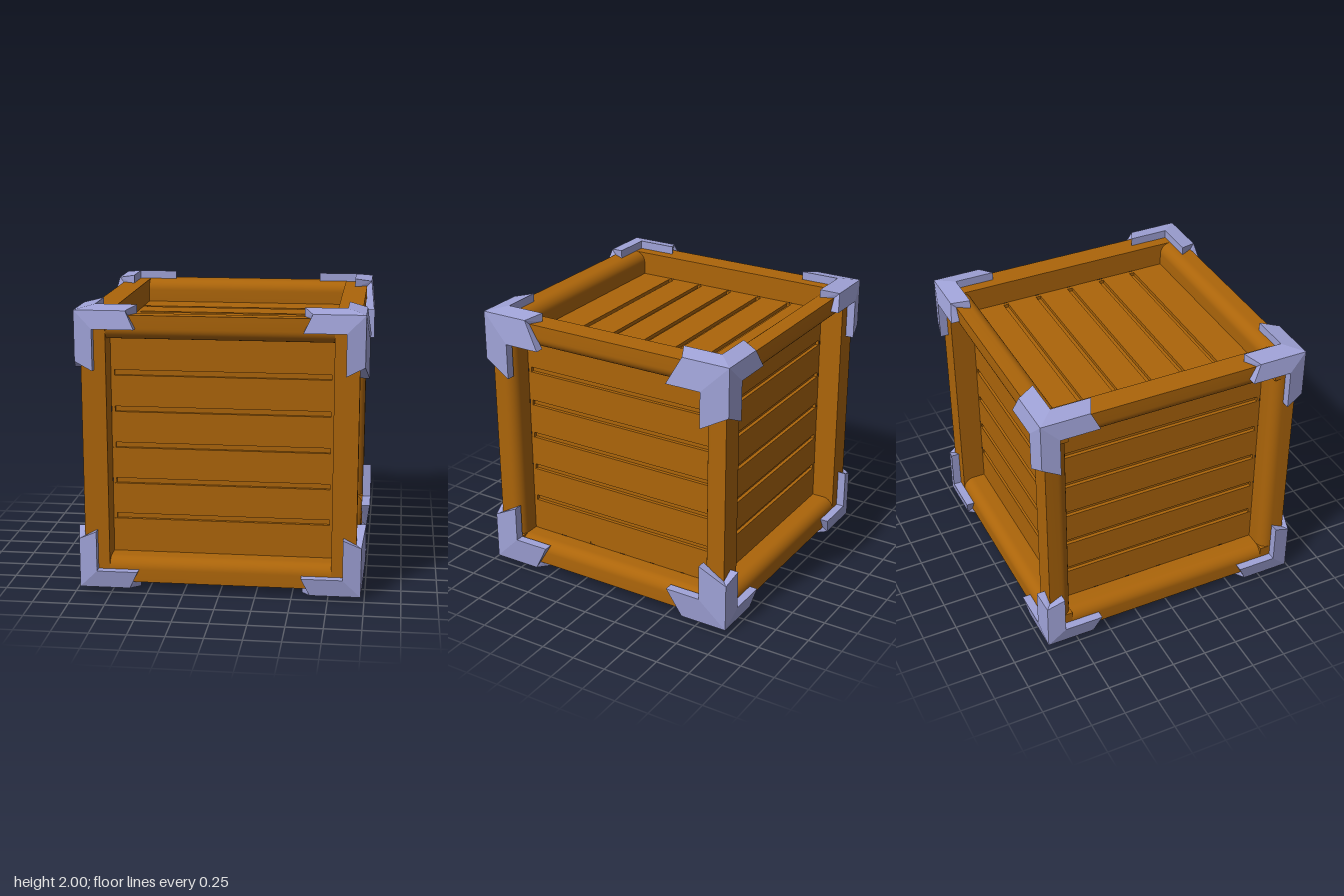
import * as THREE from 'three';
import { toCreasedNormals } from 'three/addons/utils/BufferGeometryUtils.js';

const OUT = 0.94, IN = 0.77, R = 0.08, GROOVE = 0.025, GAP = 0.038;
const SIGNS = [-1, 1];

export function createModel() {
  const wood = new THREE.MeshStandardMaterial({ color: 0xac650a });
  wood.name = 'wood';
  const metal = new THREE.MeshStandardMaterial({ color: 0xa0a3d8 });
  metal.name = 'metal';

  const crate = new THREE.Group();
  crate.name = 'crate';
  const body = new THREE.Group();
  body.name = 'crateBody';
  body.position.y = 1;
  crate.add(body);

  const add = (name, geometry, material) => {
    const mesh = new THREE.Mesh(geometry, material);
    mesh.name = name;
    body.add(mesh);
    return mesh;
  };
  const box = (name, w, h, d, x, y, z) =>
    add(name, new THREE.BoxGeometry(w, h, d), wood).position.set(x, y, z);

  // Solid core forms the groove floors; edge strips close the groove ends
  const core = IN - GROOVE, strip = GROOVE - 0.001, edge = core + strip / 2;
  box('core', core * 2, core * 2, core * 2, 0, 0, 0);
  for (const a of SIGNS) for (const b of SIGNS) {
    box('uprightEdgeStrip', strip, core * 2, strip, a * edge, 0, b * edge);
    box('levelEdgeStrip', strip, strip, core * 2, a * edge, b * edge, 0);
  }

  // Six rows of planks wrap the sides; six more cover the top and bottom
  const pitch = (IN * 2) / 6;
  for (let i = 0; i < 6; i++) {
    const lo = -IN + i * pitch + (i > 0 ? GAP / 2 : 0);
    const hi = -IN + (i + 1) * pitch - (i < 5 ? GAP / 2 : 0);
    const a = Math.max(lo, -core), b = Math.min(hi, core);
    box('sidePlanks', IN * 2, b - a, IN * 2, 0, (a + b) / 2, 0);
    for (const s of SIGNS) {
      box(s > 0 ? 'topPlank' : 'bottomPlank', IN * 2, GROOVE, hi - lo,
        0, s * (IN - GROOVE / 2), (lo + hi) / 2);
    }
  }

  // Frame beams: front, back, top and bottom openings have rounded lips
  const beam = (axis, su, sv, half, roundU, roundV) => {
    const pts = [[OUT, OUT]];
    const arc = [];
    for (let i = 0; i <= 8; i++) {
      const t = (i / 8) * Math.PI / 2;
      arc.push([IN + R - R * Math.sin(t), OUT - R + R * Math.cos(t)]);
    }
    if (roundV) pts.push(...arc);
    else pts.push([IN, OUT]);
    pts.push([IN, IN]);
    if (roundU) pts.push(...arc.map(([a, b]) => [b, a]).reverse());
    else pts.push([OUT, IN]);
    const shape = new THREE.Shape(pts.map(([u, v]) => new THREE.Vector2(u * su, v * sv)));
    const geo = new THREE.ExtrudeGeometry(shape, { depth: half * 2, bevelEnabled: false });
    geo.translate(0, 0, -half);
    const e = [0, 1, 2].map(i => new THREE.Vector3().setComponent(i, 1));
    geo.applyMatrix4(new THREE.Matrix4().makeBasis(e[(axis + 1) % 3], e[(axis + 2) % 3], e[axis]));
    add('frameBeam', toCreasedNormals(geo, 0.6), wood);
  };
  // The shorter beams stop below the lips so that these meet in clean mitres
  for (const a of SIGNS) for (const b of SIGNS) {
    beam(0, a, b, OUT, true, true);        // along x: u = y, v = z
    beam(1, a, b, OUT - R, false, true);   // along y: u = z, v = x
    beam(2, a, b, OUT - R, true, false);   // along z: u = x, v = y
  }

  // Corner brackets: three mitred L-shaped plates with slanted leg ends
  const bracket = s => {
    const pos = [];
    const quad = (pts, flip) => {
      const order = flip ? [0, 2, 1, 0, 3, 2] : [0, 1, 2, 0, 2, 3];
      for (const i of order) pos.push(...pts[i]);
    };
    const mirrored = s[0] * s[1] * s[2] < 0;
    for (let n = 0; n < 3; n++) {
      const wide = n === 0 && s[0] > 0;
      const w = wide ? 0.775 : 0.85;
      const end = wide ? 0.515 : 0.565;
      for (let k = 0; k < 2; k++) {
        const across = (n + 1 + k) % 3, along = (n + 2 - k) % 3;
        const p = (h, u, v) => {
          const q = [0, 0, 0];
          q[n] = h * s[n];
          q[across] = u * s[across];
          q[along] = v * s[along];
          return q;
        };
        const flip = mirrored !== (k === 0);
        const O = p(0.975, 0.975, 0.975), A = p(0.975, 0.975, 0.625);
        const B = p(1, w, end), C = p(1, w, w);
        const A0 = p(OUT - 0.005, OUT - 0.005, 0.61);
        const B0 = p(OUT - 0.005, w, end), C0 = p(OUT - 0.005, w, w);
        quad([O, A, B, C], flip);    // outer face
        quad([A, A0, B0, B], flip);  // leg end
        quad([B, B0, C0, C], flip);  // inner edge
      }
    }
    const geo = new THREE.BufferGeometry();
    geo.setAttribute('position', new THREE.Float32BufferAttribute(pos, 3));
    geo.computeVertexNormals();
    add('cornerBracket', geo, metal);
  };
  for (const x of SIGNS) for (const y of SIGNS) for (const z of SIGNS) bracket([x, y, z]);

  return crate;
}
